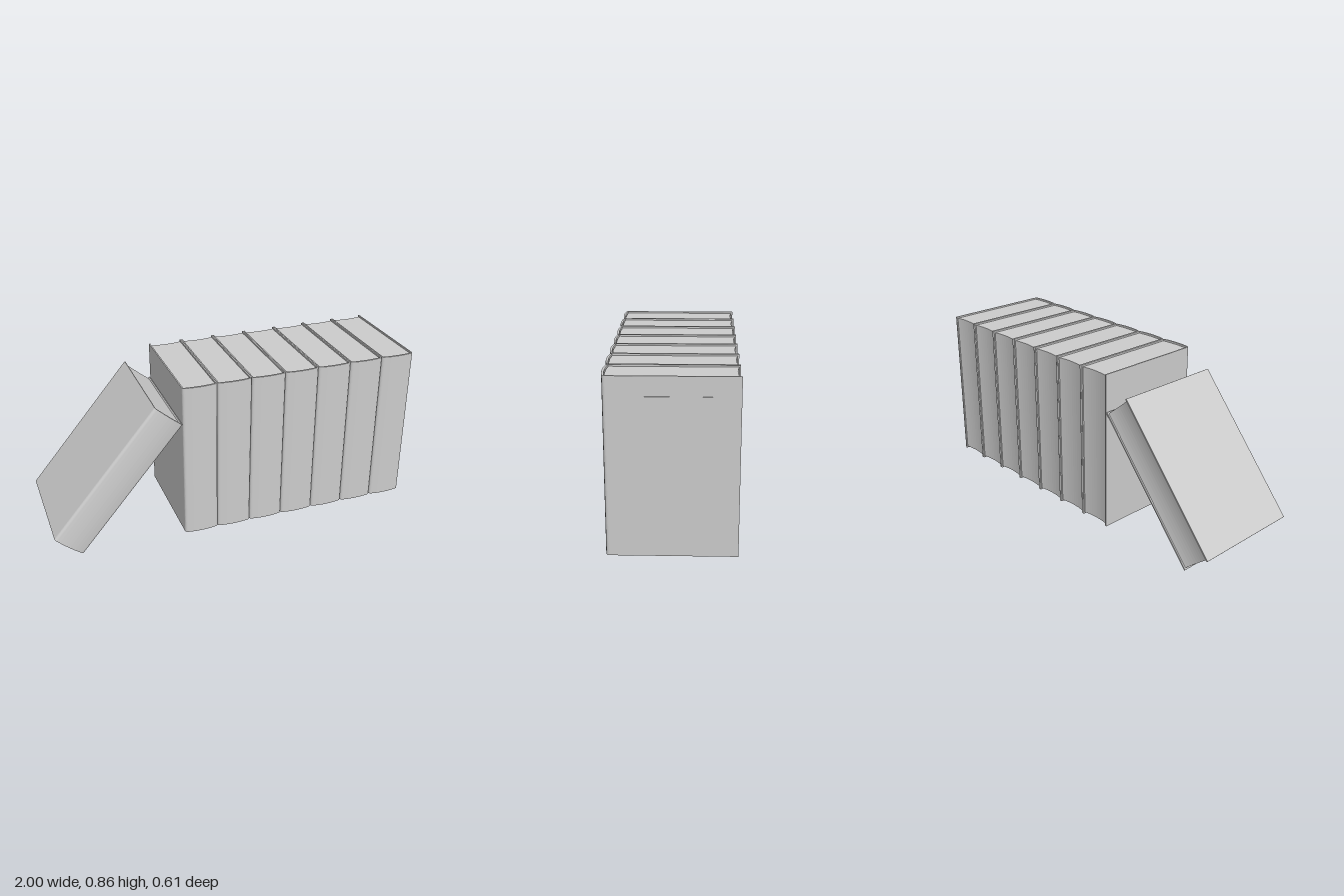
import * as THREE from 'three';

const W = 0.185, H = 0.86, BACK = 0.305, T = 0.008; // book width, height, half depth, cover thickness
const BEVEL = 0.002;

// Plan shapes are drawn with the spine toward -y, then stood upright so the spine faces +z.
function stand(shape, height, bevel) {
  const geo = new THREE.ExtrudeGeometry(shape, {
    depth: height - 2 * bevel, curveSegments: 10, bevelEnabled: bevel > 0,
    bevelSize: bevel, bevelThickness: bevel, bevelOffset: -bevel, bevelSegments: 2,
  });
  geo.translate(0, 0, -(height - 2 * bevel) / 2);
  geo.rotateX(-Math.PI / 2);
  return geo;
}

// U-shaped case: two boards joined by a slightly rounded spine
function coverGeometry() {
  const w = W / 2, i = w - T, s = new THREE.Shape();
  s.moveTo(-w, BACK);
  s.lineTo(-w, -0.285);
  s.quadraticCurveTo(-w, -0.298, -w + 0.014, -0.301);
  s.quadraticCurveTo(0, -0.315, w - 0.014, -0.301);
  s.quadraticCurveTo(w, -0.298, w, -0.285);
  s.lineTo(w, BACK);
  s.lineTo(i, BACK);
  s.lineTo(i, -0.29);
  s.quadraticCurveTo(0, -0.302, -i, -0.29);
  s.lineTo(-i, BACK);
  s.closePath();
  return stand(s, H, BEVEL);
}

// Page block with a hollow fore-edge
function pagesGeometry() {
  const i = W / 2 - T + 0.001, s = new THREE.Shape();
  s.moveTo(-i, -0.288);
  s.quadraticCurveTo(0, -0.3, i, -0.288);
  s.lineTo(i, 0.298);
  s.quadraticCurveTo(0, 0.28, -i, 0.298);
  s.closePath();
  return stand(s, H - 0.018, 0);
}

export function createModel() {
  const root = new THREE.Group();
  root.name = 'rowOfBooks';
  const material = new THREE.MeshStandardMaterial({ color: 0xcccccc });
  const parts = {
    cover: coverGeometry(),
    pages: pagesGeometry(),
    // Raised plate high on the right-hand board
    coverPlate: new THREE.BoxGeometry(0.006, 0.125, 0.363).translate(W / 2, 0.275, 0.003),
  };

  function addBook(name, x, y, tilt = 0) {
    const book = new THREE.Group();
    book.name = name;
    for (const [part, geometry] of Object.entries(parts)) {
      const mesh = new THREE.Mesh(geometry, material);
      mesh.name = part;
      book.add(mesh);
    }
    book.position.set(x, y, 0);
    book.rotation.z = tilt;
    root.add(book);
  }

  // Seven upright books
  for (let n = 0; n < 7; n++) addBook(`uprightBook${n + 1}`, -0.211 + n * 0.1858, 0.434);

  // One book leaning against the row
  addBook('leaningBook', -0.652, 0.392, -THREE.MathUtils.degToRad(40.2));
  return root;
}
